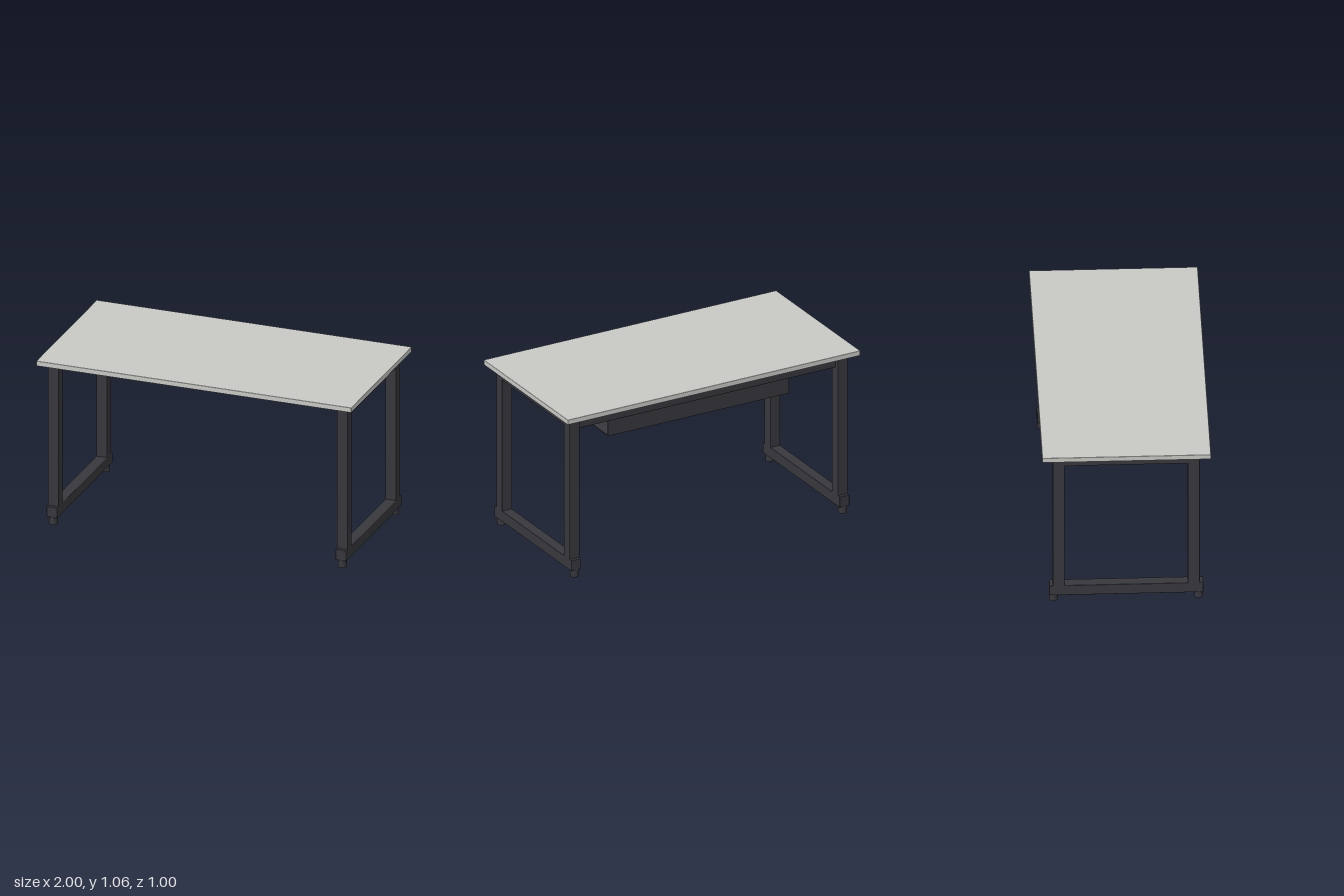
import * as THREE from 'three';
import { RoundedBoxGeometry } from 'three/addons/geometries/RoundedBoxGeometry.js';

const topGrey = new THREE.MeshStandardMaterial({ color: 0xc8c8c5 });
topGrey.name = 'light grey laminate';
const frameDark = new THREE.MeshStandardMaterial({ color: 0x38373d });
frameDark.name = 'charcoal steel';

// Box from min and max corners, optionally with rounded edges
function box(parent, name, material, min, max, radius = 0) {
  const size = max.map((v, i) => v - min[i]);
  const geometry = radius
    ? new RoundedBoxGeometry(...size, 2, radius)
    : new THREE.BoxGeometry(...size);
  const mesh = new THREE.Mesh(geometry, material);
  mesh.name = name;
  mesh.position.set(...max.map((v, i) => (v + min[i]) / 2));
  parent.add(mesh);
  return mesh;
}

// One rectangular end frame with base rail and levelling feet
function endFrame(name, side) {
  const group = new THREE.Group();
  group.name = name;
  group.position.x = side * 0.917;
  const h = 0.034;
  for (const s of [-1, 1]) {
    const z = s * 0.4005;
    box(group, s > 0 ? 'frontLeg' : 'backLeg', frameDark,
      [-h, 0.1, z - 0.035], [h, 1.025, z + 0.035], 0.003);
    const foot = new THREE.Mesh(new THREE.CylinderGeometry(0.026, 0.026, 0.05, 24), frameDark);
    foot.name = s > 0 ? 'frontFoot' : 'backFoot';
    foot.position.set(0, 0.025, s * 0.431);
    group.add(foot);
  }
  box(group, 'topRail', frameDark, [-h, 0.967, -0.37], [h, 1.025, 0.37]);
  box(group, 'baseRail', frameDark, [-h, 0.045, -0.457], [h, 0.114, 0.457], 0.004);
  return group;
}

export function createModel() {
  const desk = new THREE.Group();
  desk.name = 'desk';

  box(desk, 'tabletop', topGrey, [-1, 1.025, -0.5], [1, 1.057, 0.5], 0.003);

  desk.add(endFrame('leftEndFrame', 1), endFrame('rightEndFrame', -1));

  // Stretcher joining the end frames at the back
  box(desk, 'backStretcher', frameDark, [-0.885, 0.939, -0.41], [0.885, 1.025, -0.342], 0.005);

  // Open-ended cable tray
  const tray = new THREE.Group();
  tray.name = 'cableTray';
  const x = 0.618, t = 0.005;
  box(tray, 'trayFloor', frameDark, [-x, 0.794, -0.315], [x, 0.794 + t, -0.111]);
  box(tray, 'trayFront', frameDark, [-x, 0.794 + t, -0.111 - t], [x, 0.908, -0.111]);
  box(tray, 'trayBack', frameDark, [-x, 0.794 + t, -0.315], [x, 0.908, -0.315 + t]);
  desk.add(tray);

  return desk;
}
